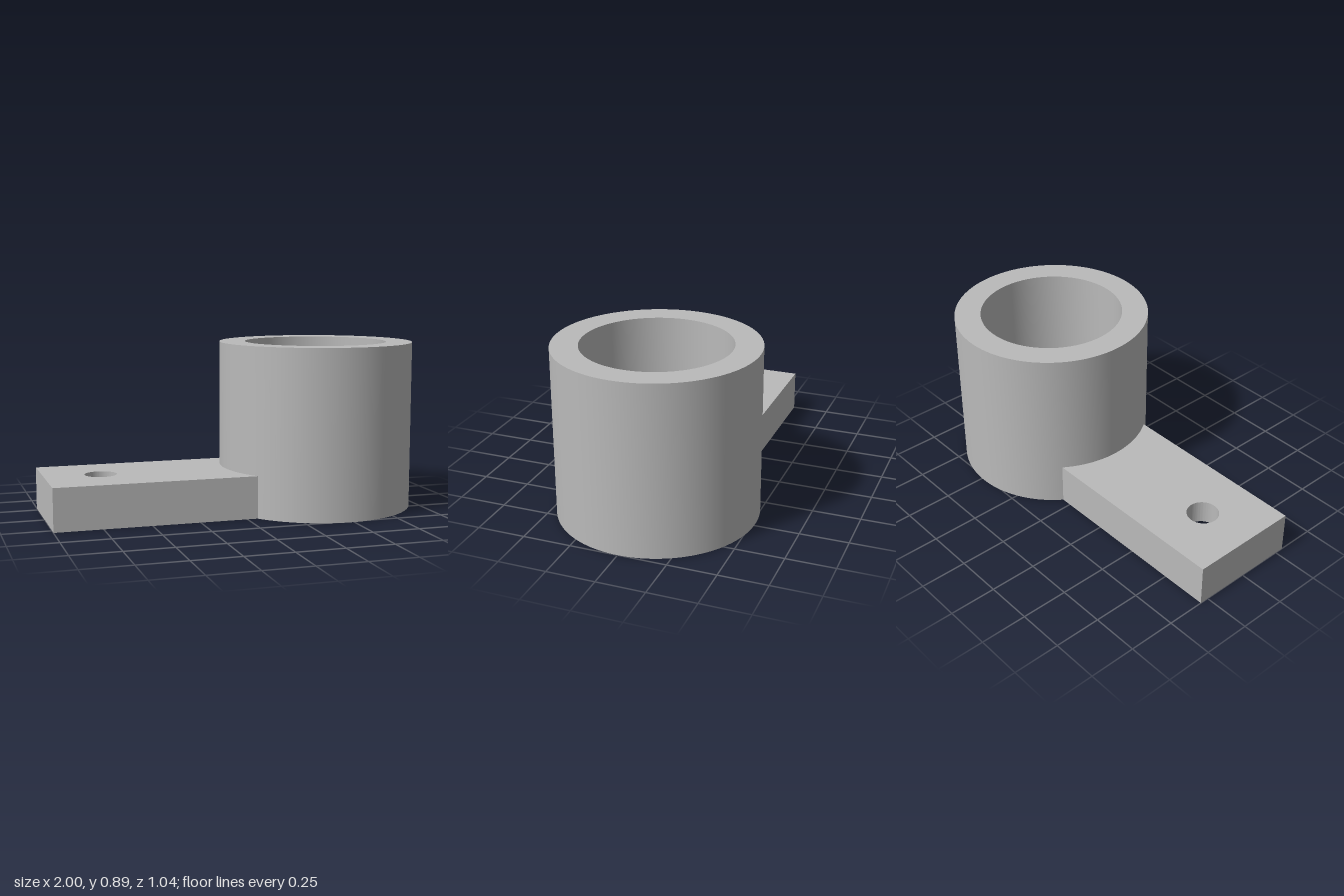
import * as THREE from 'three';
import { toCreasedNormals } from 'three/addons/utils/BufferGeometryUtils.js';

const RING = { x: 0.481, outer: 0.519, inner: 0.38, height: 0.89 };
const ARM = { end: -1, half: 0.297, height: 0.223 };
const POCKET = { x0: -0.965, x1: -0.04, half: 0.175, depth: 0.095 };
const BOLT = { x: -0.705, r: 0.083 };

function circle(Type, x, r) {
  return new Type().absarc(x, 0, r, 0, Math.PI * 2, false);
}

// Arm outline, ending in a concave arc that fits the ring
function armOutline() {
  const a = Math.asin(ARM.half / RING.outer);
  const s = new THREE.Shape();
  s.moveTo(ARM.end, ARM.half);
  s.lineTo(ARM.end, -ARM.half);
  s.lineTo(RING.x - RING.outer * Math.cos(a), -ARM.half);
  s.absarc(RING.x, 0, RING.outer, Math.PI + a, Math.PI - a, true);
  s.closePath();
  return s;
}

// Extrudes a plan shape upward from y0 to y1, with smooth curves and sharp edges
function plate(name, shape, hole, y0, y1, material) {
  shape.holes.push(hole);
  const geo = new THREE.ExtrudeGeometry(shape, { depth: y1 - y0, bevelEnabled: false, curveSegments: 64 });
  geo.rotateX(-Math.PI / 2);
  geo.translate(0, y0, 0);
  const mesh = new THREE.Mesh(toCreasedNormals(geo, 0.6), material);
  mesh.name = name;
  return mesh;
}

export function createModel() {
  const group = new THREE.Group();
  group.name = 'ringBracket';
  const grey = new THREE.MeshStandardMaterial({ color: 0xbababa });
  grey.name = 'grey';

  // Open cylindrical collar
  group.add(plate('collar', circle(THREE.Shape, RING.x, RING.outer),
    circle(THREE.Path, RING.x, RING.inner), 0, RING.height, grey));

  // Lower arm: rim around the underside pocket
  const pocket = new THREE.Path();
  pocket.moveTo(POCKET.x0, -POCKET.half);
  pocket.lineTo(POCKET.x1, -POCKET.half);
  pocket.lineTo(POCKET.x1, POCKET.half);
  pocket.lineTo(POCKET.x0, POCKET.half);
  pocket.closePath();
  group.add(plate('armRim', armOutline(), pocket, 0, POCKET.depth, grey));

  // Upper arm: slab with the bolt hole
  group.add(plate('armSlab', armOutline(), circle(THREE.Path, BOLT.x, BOLT.r),
    POCKET.depth, ARM.height, grey));

  return group;
}
